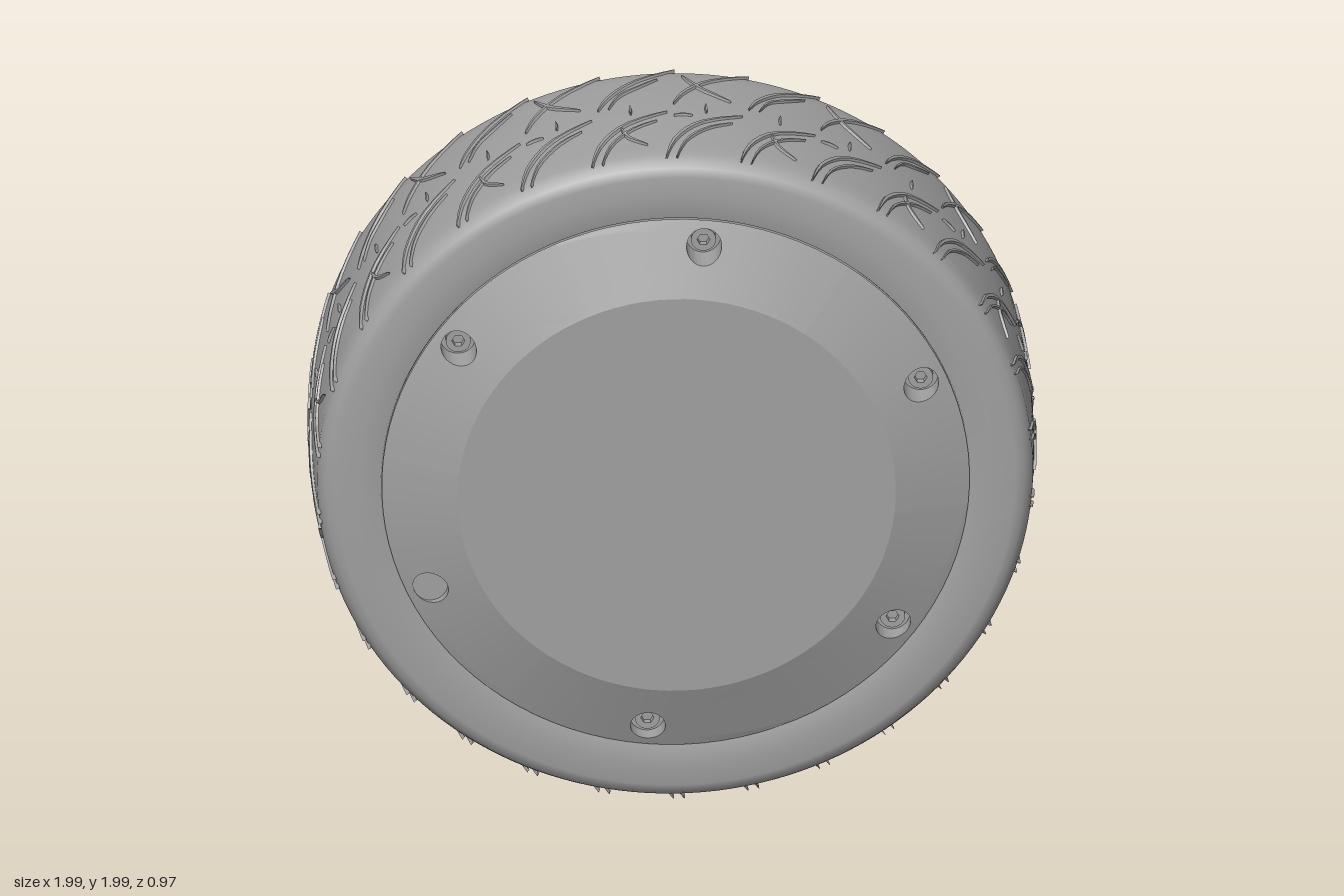
import * as THREE from 'three';
import { mergeGeometries, toCreasedNormals } from 'three/addons/utils/BufferGeometryUtils.js';

const DEG = Math.PI / 180;
const grey = new THREE.MeshStandardMaterial({ color: 0xa0a0a0, side: THREE.DoubleSide });
grey.name = 'plain grey';

function add(parent, name, geometry, x = 0, y = 0, z = 0) {
  const mesh = new THREE.Mesh(geometry, grey);
  mesh.name = name;
  mesh.position.set(x, y, z);
  parent.add(mesh);
  return mesh;
}

// Builds a surface from a grid of points: point(i, j) returns [x, y, z]
function gridGeometry(rows, cols, point, flip = false) {
  const pos = [], index = [];
  for (let i = 0; i <= rows; i++) for (let j = 0; j <= cols; j++) pos.push(...point(i, j));
  for (let i = 0; i < rows; i++) for (let j = 0; j < cols; j++) {
    const a = i * (cols + 1) + j, d = a + 1, b = a + cols + 1, c = b + 1;
    if (flip) index.push(a, d, c, a, c, b);
    else index.push(a, b, c, a, c, d);
  }
  const g = new THREE.BufferGeometry();
  g.setAttribute('position', new THREE.Float32BufferAttribute(pos, 3));
  g.setIndex(index);
  return g;
}

// Slightly domed tread surface
const crown = z => 0.99 - 0.012 * ((z - 0.105) / 0.27) ** 2;

function tyreGeometry() {
  const pts = [[0.8, -0.18], [0.808, -0.188], [0.87, -0.19], [0.93, -0.188], [0.955, -0.178], [0.97, -0.16]];
  for (let i = 0; i <= 12; i++) {
    const z = -0.14 + 0.49 * i / 12;
    pts.push([crown(z), z]);
  }
  pts.push([0.97, 0.37], [0.955, 0.388], [0.93, 0.398], [0.87, 0.4], [0.808, 0.398], [0.803, 0.385]);
  const g = new THREE.LatheGeometry(pts.map(p => new THREE.Vector2(...p)), 160);
  return g.rotateX(Math.PI / 2);
}

// Tapered rib along a path of [arc, z] points, wrapped around the tread
function ribGeometry(path, width) {
  const curve = new THREE.SplineCurve(path.map(p => new THREE.Vector2(...p)));
  const n = 10;
  const section = [[1, -0.004], [0.55, 0.007], [-0.55, 0.007], [-1, -0.004]];
  const g = gridGeometry(n, 3, (i, k) => {
    const p = curve.getPoint(i / n), t = curve.getTangent(i / n);
    const w = width * (0.2 + 0.8 * Math.sin(Math.PI * i / n)) * section[k][0];
    const a = p.x - t.y * w, z = p.y + t.x * w;
    const r = crown(z) + section[k][1];
    return [r * Math.cos(a), r * Math.sin(a), z];
  }, true);
  const flat = g.toNonIndexed();
  flat.computeVertexNormals();
  return flat;
}

function treadGeometry() {
  const count = 30, all = [];
  // Curved blades on both halves, with short sipes near the centre line
  const frontArc = [[0.13, 0.37], [0.1, 0.27], [0.03, 0.18], [-0.09, 0.12]];
  const frontInner = [[0.1, 0.37], [0.07, 0.28], [0.01, 0.21], [-0.06, 0.17]];
  const rearArc = [[0.1, 0.07], [0.07, 0.0], [0.0, -0.08], [-0.12, -0.15]];
  const rearInner = [[0.07, 0.07], [0.04, 0.0], [-0.02, -0.05], [-0.07, -0.09]];
  const cross = [[-0.06, 0.04], [0.02, -0.03], [0.07, -0.11]];
  const frontCross = [[-0.03, 0.3], [0.02, 0.25], [0.04, 0.19]];
  const tickA = [[0.01, 0.12], [0.01, 0.095], [0.01, 0.07]];
  const tickB = [[0.05, 0.14], [0.075, 0.135], [0.1, 0.14]];
  for (let i = 0; i < count; i++) {
    const ribs = [[frontArc, 0.009], [frontInner, 0.006], [rearArc, 0.009], [tickA, 0.005]];
    if (i % 2) ribs.push([cross, 0.009], [tickB, 0.005]);
    else ribs.push([rearInner, 0.006], [frontCross, 0.007]);
    for (const [path, w] of ribs) all.push(ribGeometry(path, w).rotateZ(i / count * Math.PI * 2));
  }
  return mergeGeometries(all);
}

// Hub cover dimensions: cone from rim to flat cap, with a ring of bolt holes
const RIM = 0.805, CAP = 0.6, RISE = 0.08, BOLT_RING = 0.735, HOLE = 0.048, N = 16;
const coneZ = r => RISE * (RIM - r) / (RIM - CAP);

// One sixth of the cone, with a bolt hole and its wall
function coneSector(angle, depth) {
  const rings = 6;
  const g = gridGeometry(rings + 1, 4 * N, (i, j) => {
    const side = Math.floor(j / N) % 4, s = (j % N) / N * 2 - 1;
    const [p, q] = [[1, s], [-s, 1], [-1, -s], [s, -1]][side];
    const phi = Math.atan2(q, p), t = Math.max(0, i - 1) / rings;
    const outerR = BOLT_RING + (p > 0 ? p * (RIM - BOLT_RING) : p * (BOLT_RING - CAP));
    const r = THREE.MathUtils.lerp(BOLT_RING + HOLE * Math.cos(phi), outerR, t);
    const a = angle + THREE.MathUtils.lerp(HOLE * Math.sin(phi) / BOLT_RING, q * 30 * DEG, t);
    return [r * Math.cos(a), r * Math.sin(a), i === 0 ? -depth : coneZ(r)];
  });
  return toCreasedNormals(g, 0.5);
}

function circlePath(x, y, r, sides = 24) {
  const path = new THREE.Path();
  for (let i = 0; i <= sides; i++) {
    const a = -i / sides * Math.PI * 2;
    const px = x + r * Math.cos(a), py = y + r * Math.sin(a);
    if (i) path.lineTo(px, py);
    else path.moveTo(px, py);
  }
  return path;
}

function extrude(shape, depth) {
  const g = new THREE.ExtrudeGeometry(shape, { depth, bevelEnabled: false, curveSegments: 64 });
  return toCreasedNormals(g, 0.5);
}

function hubCover(name, startAngle, plugged) {
  const group = new THREE.Group();
  group.name = name;
  const headShape = new THREE.Shape().absarc(0, 0, 0.034, 0, Math.PI * 2);
  headShape.holes.push(circlePath(0, 0, 0.018, 6));
  const head = extrude(headShape, 0.02);
  for (let k = 0; k < 6; k++) {
    const a = startAngle + k * 60 * DEG, depth = k === plugged ? -0.006 : 0.04;
    const x = BOLT_RING * Math.cos(a), y = BOLT_RING * Math.sin(a);
    add(group, 'coneSector', coneSector(a, depth));
    add(group, 'boltSeat', new THREE.CircleGeometry(HOLE + 0.002, 32), x, y, -depth);
    if (k !== plugged) add(group, 'boltHead', head, x, y, -depth);
  }
  const cap = new THREE.CircleGeometry(CAP, 6 * N, startAngle - 30 * DEG);
  add(group, 'flatCap', cap, 0, 0, RISE);
  return group;
}

// Disc outline with a rectangular bite between angles a0 and a1
function notchedDisc(r, a0, a1, innerX) {
  const s = new THREE.Shape();
  s.absarc(0, 0, r, a1, a0 + Math.PI * 2, false);
  s.lineTo(innerX, r * Math.sin(a0));
  s.lineTo(innerX, r * Math.sin(a1));
  s.closePath();
  return s;
}

function mount() {
  const group = new THREE.Group();
  group.name = 'axleMount';
  const holes = [
    [0.25, 0.27, 0.024], [0.32, 0.17, 0.038], [0.385, 0, 0.038], [0.39, -0.11, 0.024], [-0.14, 0.36, 0.024],
    [-0.1, 0.24, 0.026], [-0.39, 0.08, 0.024], [0.06, -0.18, 0.026], [0.13, -0.39, 0.024], [-0.25, -0.3, 0.024],
  ];
  const back = new THREE.Shape().absarc(0, 0, 0.465, 0, Math.PI * 2);
  const front = notchedDisc(0.465, 13.7 * DEG, 28 * DEG, 0.385);
  for (const s of [back, front]) s.holes.push(...holes.map(h => circlePath(...h)));
  add(group, 'mountPlateBack', extrude(back, 0.04), 0, 0, -0.485);
  add(group, 'mountPlateFront', extrude(front, 0.045), 0, 0, -0.445);
  // Axle boss with a keyway
  add(group, 'axleBoss', extrude(notchedDisc(0.155, 8 * DEG, 32 * DEG, 0.105), 0.14), 0, 0, -0.405);
  // Cable connector beside the boss
  add(group, 'connectorBody', new THREE.BoxGeometry(0.13, 0.29, 0.075), 0.305, 0.135, -0.365);
  add(group, 'connectorUpperLug', new THREE.BoxGeometry(0.045, 0.06, 0.075), 0.39, 0.21, -0.365);
  add(group, 'connectorLowerLug', new THREE.BoxGeometry(0.08, 0.1, 0.075), 0.405, 0.04, -0.365);
  return group;
}

export function createModel() {
  const model = new THREE.Group();
  model.name = 'hubWheel';
  const wheel = new THREE.Group();
  wheel.name = 'wheelAssembly';
  wheel.position.y = 1;
  model.add(wheel);
  add(wheel, 'tyre', tyreGeometry());
  add(wheel, 'treadPattern', treadGeometry());
  const front = hubCover('frontHubCover', 24 * DEG, 3);
  front.position.z = 0.4;
  const rear = hubCover('rearHubCover', -24 * DEG, -1);
  rear.position.z = -0.19;
  rear.rotation.x = Math.PI;
  wheel.add(front, rear, mount());
  return model;
}
